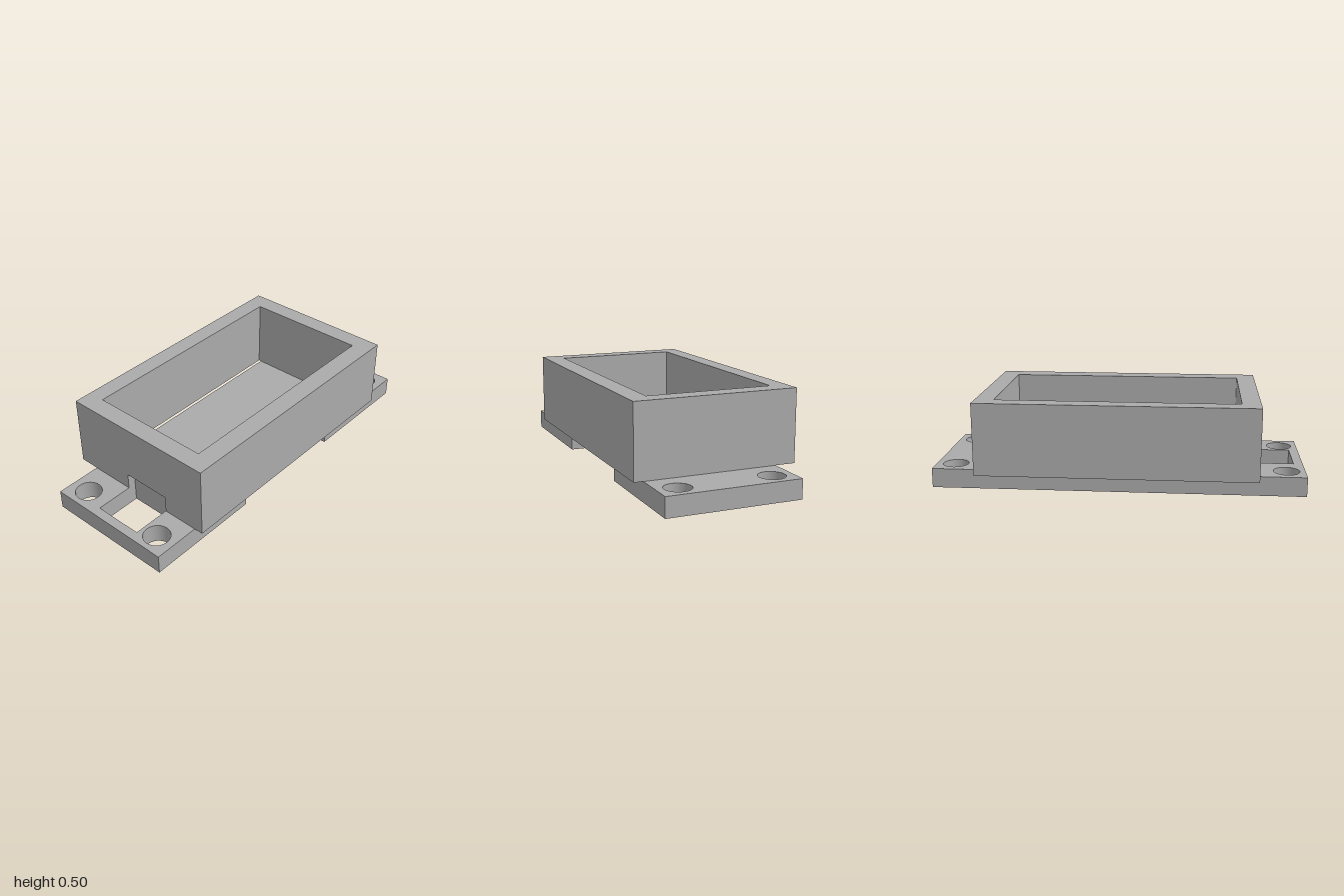
import * as THREE from 'three';

const plastic = new THREE.MeshStandardMaterial({ color: 0xaaaaaa });
plastic.name = 'grey plastic';

// Closed outline from [x, z] points
const outline = (points, Type = THREE.Path) =>
  new Type(points.map(([x, z]) => new THREE.Vector2(x, z)));

const rect = (x0, x1, z0, z1) => [[x0, z0], [x1, z0], [x1, z1], [x0, z1]];

// Horizontal slab between two heights, drawn in plan with holes
function slab(name, points, holes, bottom, top) {
  const shape = outline(points, THREE.Shape);
  shape.holes.push(...holes);
  const geometry = new THREE.ExtrudeGeometry(shape, {
    depth: top - bottom, bevelEnabled: false, curveSegments: 48,
  });
  geometry.rotateX(Math.PI / 2).translate(0, top, 0);
  const mesh = new THREE.Mesh(geometry, plastic);
  mesh.name = name;
  return mesh;
}

export function createModel() {
  const group = new THREE.Group();
  group.name = 'mountingCase';
  const plateTop = 0.105, pocketTop = 0.195, rim = 0.495;

  // Base plate: front notch, side window and four screw holes
  const holes = [outline(rect(-0.95, -0.70, -0.08, 0.19))];
  for (const x of [-0.9, 0.895]) {
    for (const z of [-0.22, 0.28]) {
      holes.push(new THREE.Path().absarc(x, z, 0.07, 0, Math.PI * 2));
    }
  }
  group.add(slab('basePlate', [
    [-1, -0.33], [1, -0.33], [1, 0.39], [0.35, 0.39],
    [0.35, 0.28], [-0.35, 0.28], [-0.35, 0.39], [-1, 0.39],
  ], holes, 0, plateTop));

  // Lower walls: pocket outside on the right, pocket inside at the front
  group.add(slab('lowerWalls', [
    [-0.745, -0.44], [0.745, -0.44], [0.745, 0.44], [-0.745, 0.44],
    [-0.745, 0.19], [-0.70, 0.19], [-0.70, -0.08], [-0.745, -0.08],
  ], [outline([
    [-0.645, -0.345], [0.645, -0.345], [0.645, 0.335], [0.35, 0.335],
    [0.35, 0.39], [-0.35, 0.39], [-0.35, 0.335], [-0.645, 0.335],
  ])], plateTop, pocketTop));

  // Upper walls: plain rectangular frame
  group.add(slab('upperWalls', rect(-0.745, 0.745, -0.44, 0.44),
    [outline(rect(-0.645, 0.645, -0.345, 0.335))], pocketTop, rim));

  return group;
}
